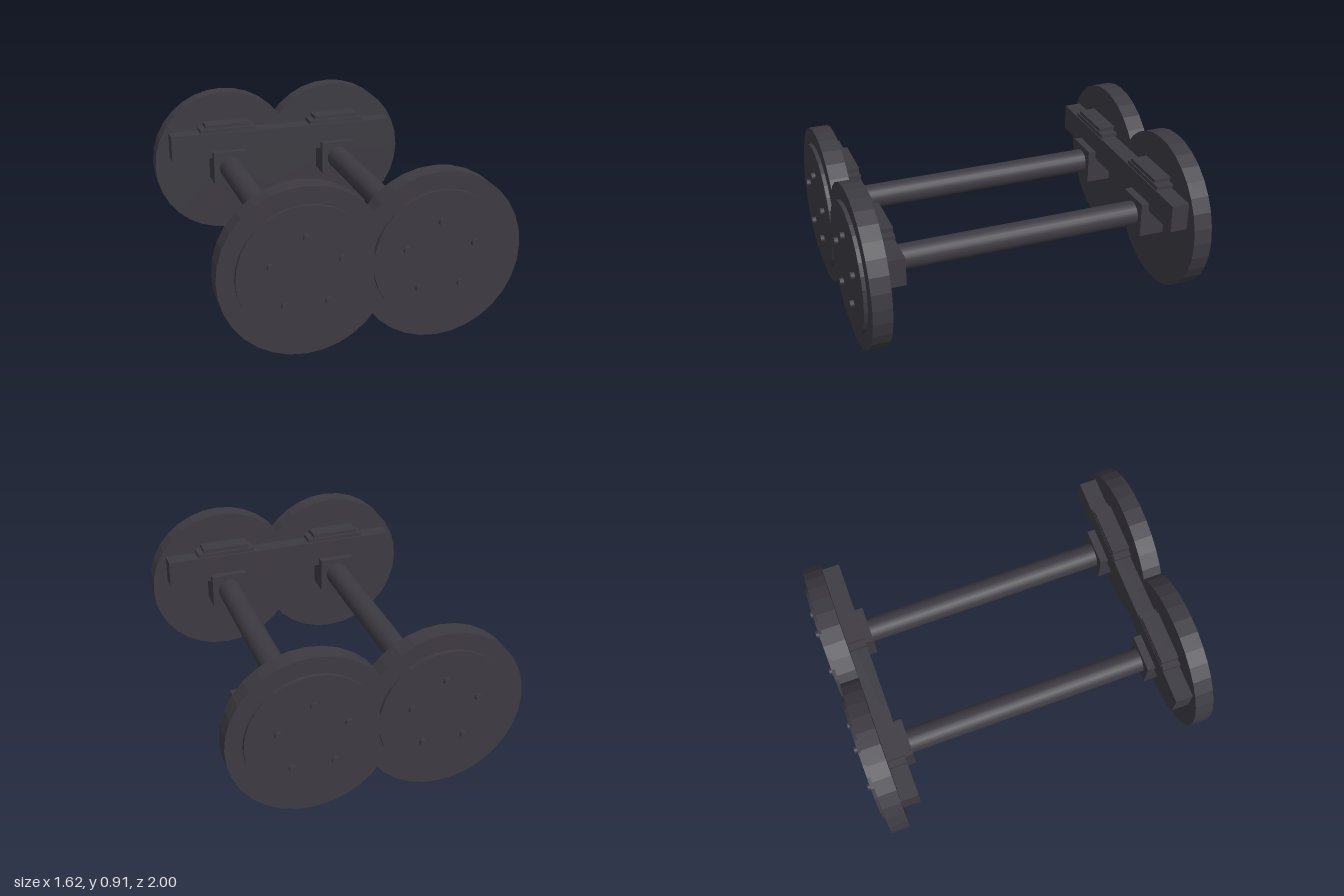
import * as THREE from 'three';

const WHEEL_X = 0.357, AXLE_Y = 0.455;

export function createModel() {
  const root = new THREE.Group();
  root.name = 'bogie';
  const iron = new THREE.MeshStandardMaterial({ color: 0x3d3b42 });
  iron.name = 'dark iron';

  function add(parent, name, geometry, x, y, z) {
    const mesh = new THREE.Mesh(geometry, iron);
    mesh.name = name;
    mesh.position.set(x, y, z);
    parent.add(mesh);
  }
  // Box given by its y and z limits
  function addBox(parent, name, width, x, y0, y1, z0, z1) {
    add(parent, name, new THREE.BoxGeometry(width, y1 - y0, z1 - z0), x, (y0 + y1) / 2, (z0 + z1) / 2);
  }
  // Cylinder along z between z0 and z1
  function addDisc(parent, name, radius, sides, x, y, z0, z1, faceted = false) {
    let geometry = new THREE.CylinderGeometry(radius, radius, z1 - z0, sides).rotateX(Math.PI / 2);
    if (faceted) {
      geometry = geometry.toNonIndexed();
      geometry.computeVertexNormals();
    }
    add(parent, name, geometry, x, y, (z0 + z1) / 2);
  }

  for (const end of [1, -1]) {
    const side = new THREE.Group();
    side.name = end > 0 ? 'frontSide' : 'backSide';
    side.rotation.y = end > 0 ? 0 : Math.PI;
    root.add(side);

    // Beam carrying the axle boxes
    addBox(side, 'sideBeam', 1.44, 0, 0.513, 0.672, 0.75, 0.85);

    for (const x of [-WHEEL_X, WHEEL_X]) {
      // Wheel with raised face and five bolts
      addDisc(side, 'wheel', 0.455, 32, x, AXLE_Y, 0.85, 0.957, true);
      addDisc(side, 'wheelFace', 0.362, 32, x, AXLE_Y, 0.95, 0.978, true);
      for (let i = 0; i < 5; i++) {
        const a = Math.PI / 2 + i * Math.PI * 2 / 5;
        addDisc(side, 'bolt', 0.02, 12, x + 0.195 * Math.cos(a), AXLE_Y + 0.195 * Math.sin(a), 0.97, 1);
      }
      // Axle box and spring leaves
      addBox(side, 'axleBox', 0.214, x, 0.354, 0.557, 0.704, 0.85);
      addBox(side, 'lowerSpringLeaf', 0.355, x, 0.678, 0.7, 0.75, 0.85);
      addBox(side, 'upperSpringLeaf', 0.286, x, 0.707, 0.729, 0.75, 0.85);
    }
  }

  // Axles joining both sides
  for (const x of [-WHEEL_X, WHEEL_X]) addDisc(root, 'axle', 0.071, 24, x, AXLE_Y, -0.71, 0.71);

  return root;
}
